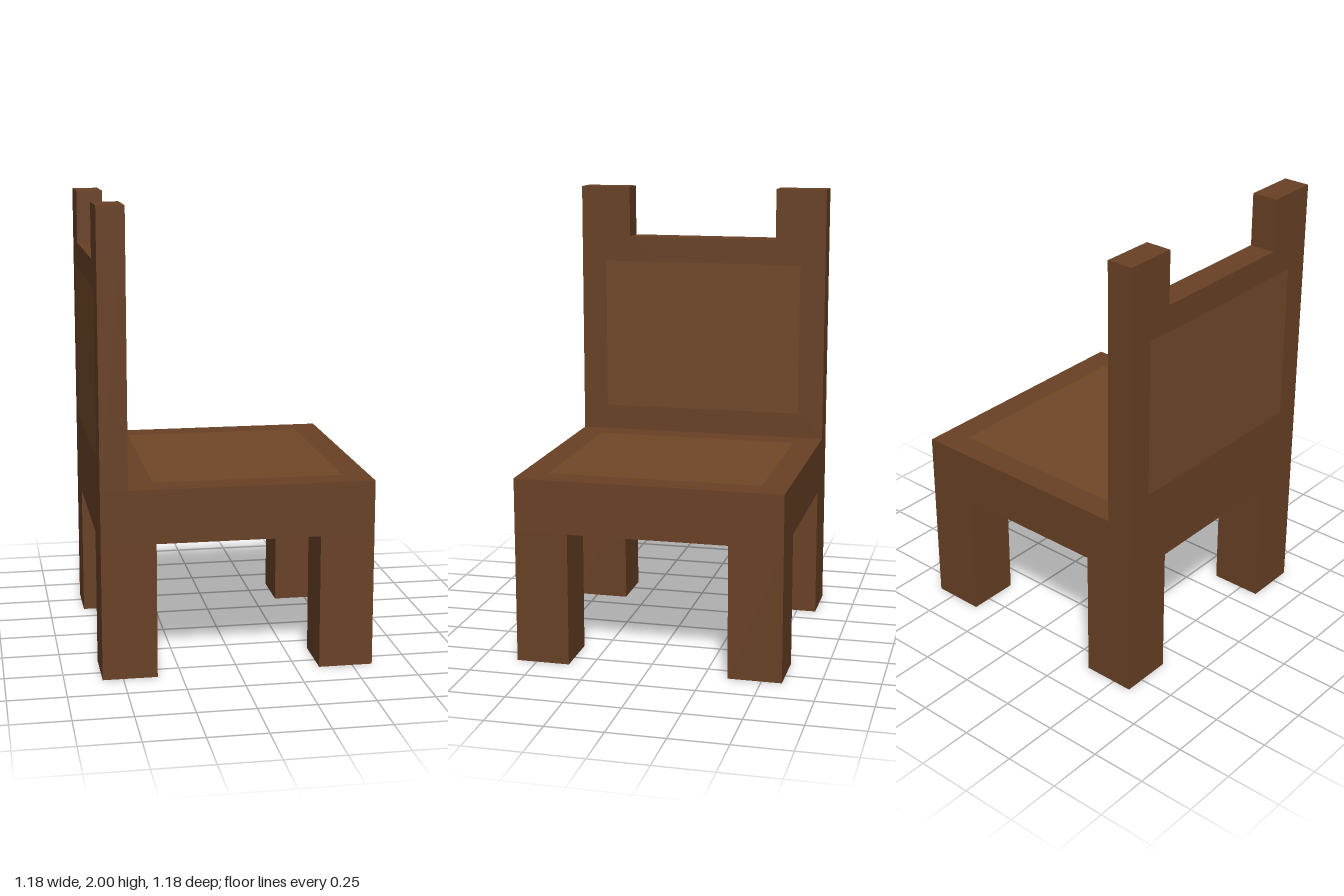
import * as THREE from 'three';

const U = 2 / 17; // grid unit: the chair is 17 units tall, 10 wide and 10 deep
const SKIN = 0.001; // panels lie practically flush with the wood

const frameWood = new THREE.MeshStandardMaterial({ color: 0x694125, flatShading: true });
const panelWood = new THREE.MeshStandardMaterial({ color: 0x724829, flatShading: true });

function part(name, geometry, material, x, y, z) {
  const mesh = new THREE.Mesh(geometry, material);
  mesh.name = name;
  mesh.position.set(x, y, z);
  return mesh;
}

export function createModel() {
  const chair = new THREE.Group();
  chair.name = 'chair';

  // Four square legs under the corners of the seat
  for (const sx of [-1, 1]) {
    for (const sz of [-1, 1]) {
      const name = (sz > 0 ? 'front' : 'back') + (sx > 0 ? 'Left' : 'Right') + 'Leg';
      const leg = new THREE.BoxGeometry(2 * U, 5 * U, 2 * U);
      chair.add(part(name, leg, frameWood, sx * 4 * U, 2.5 * U, sz * 4 * U));
    }
  }

  // Thick square seat
  chair.add(part('seat', new THREE.BoxGeometry(10 * U, 2 * U, 10 * U), frameWood, 0, 6 * U, 0));

  // Backrest on the -x side: a notched board whose ends rise as two posts
  const outline = [[-5, 7], [5, 7], [5, 17], [3, 17], [3, 15], [-3, 15], [-3, 17], [-5, 17]];
  const board = new THREE.Shape(outline.map(([z, y]) => new THREE.Vector2(z * U, y * U)));
  const boardGeometry = new THREE.ExtrudeGeometry(board, { depth: U, bevelEnabled: false });
  boardGeometry.rotateY(-Math.PI / 2);
  chair.add(part('backrest', boardGeometry, frameWood, -4 * U, 0, 0));

  // Lighter panel on the seat
  const seatPanel = new THREE.PlaneGeometry(7 * U, 8 * U).rotateX(-Math.PI / 2);
  chair.add(part('seatPanel', seatPanel, panelWood, 0.5 * U, 7 * U + SKIN, 0));

  // Lighter panels on both faces of the backrest
  for (const side of [1, -1]) {
    const panel = new THREE.PlaneGeometry(8 * U, 6 * U).rotateY(side * Math.PI / 2);
    const x = -4.5 * U + side * (0.5 * U + SKIN);
    chair.add(part(side > 0 ? 'backrestInnerPanel' : 'backrestOuterPanel', panel, panelWood, x, 11 * U, 0));
  }

  return chair;
}
